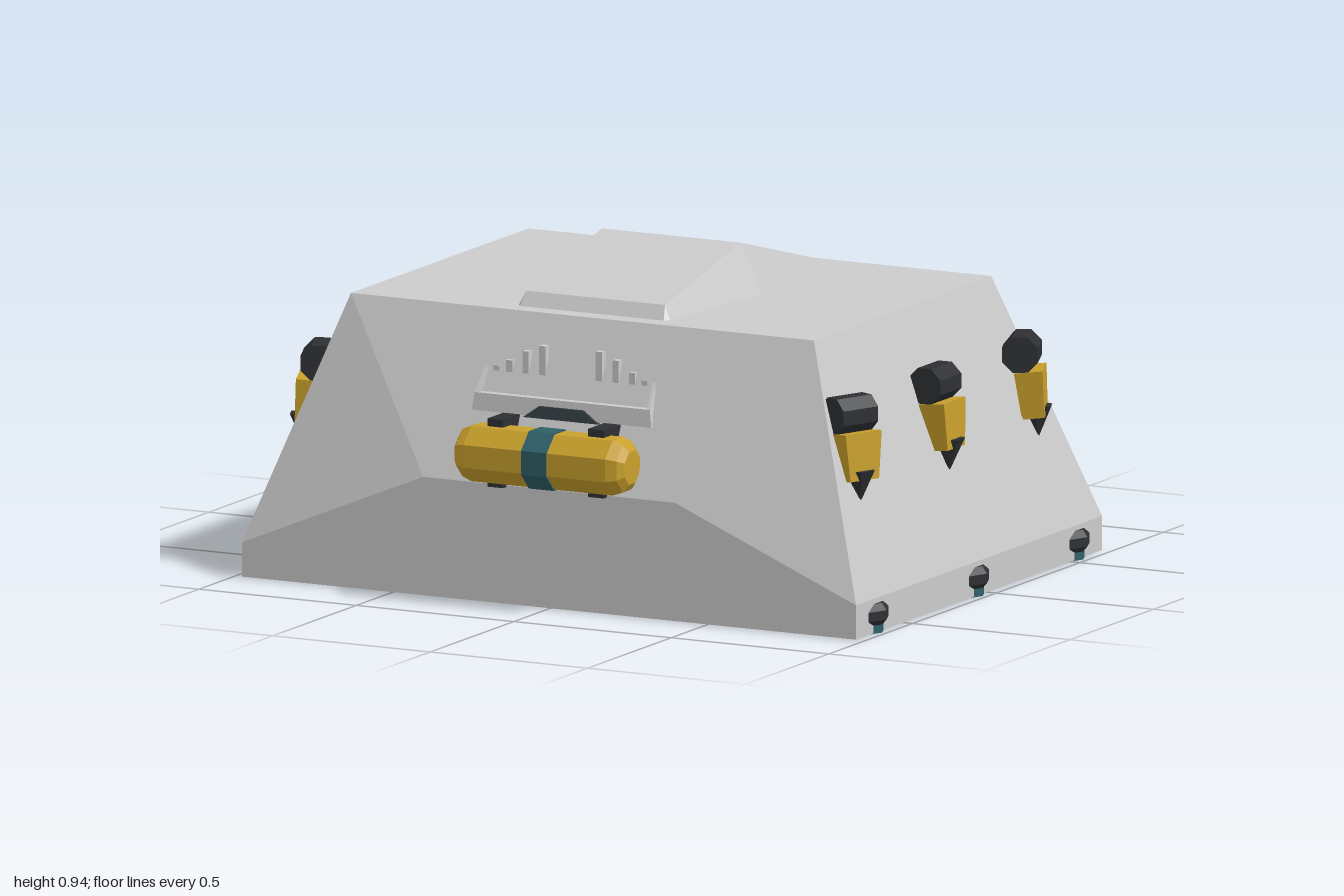
import * as THREE from 'three';
import { ConvexGeometry } from 'three/addons/geometries/ConvexGeometry.js';

const paint = (color) => new THREE.MeshStandardMaterial({ color, flatShading: true });

export function createModel() {
  const model = new THREE.Group();
  const grey = paint(0xcccccc);
  const dark = paint(0x2e3034);
  const glass = paint(0x3c464c);
  const yellow = paint(0xc9a02c);
  const teal = paint(0x2f5f68);

  const add = (name, geometry, material, x = 0, y = 0, z = 0, parent = model) => {
    const mesh = new THREE.Mesh(geometry, material);
    mesh.name = name;
    mesh.position.set(x, y, z);
    parent.add(mesh);
    return mesh;
  };
  const solid = (points) => new ConvexGeometry(points.map((p) => new THREE.Vector3(...p)));
  // Faceted solid from its +x corners, mirrored to -x
  const mirrored = (half) => solid(half.flatMap(([x, y, z]) => [[x, y, z], [-x, y, z]]));
  const box = (w, h, d) => new THREE.BoxGeometry(w, h, d);
  const lathe = (profile, sides) =>
    new THREE.LatheGeometry(profile.map(([r, y]) => new THREE.Vector2(r, y)), sides);

  // Armoured hull with a vertical skirt at front and back
  add('hull', mirrored([
    [0.975, 0.002, 0.79], [0.975, 0.1, 0.79], [0.4, 0.34, 0.79], [0.735, 0.8, 0.59],
    [0.975, 0.002, -0.68], [0.975, 0.1, -0.68], [0.4, 0.34, -0.68], [0.735, 0.8, -0.47],
  ]), grey);

  // Raised spine on the roof
  add('roofSpine', mirrored([
    [0.23, 0.79, 0.54], [0.245, 0.79, 0.52], [0.295, 0.79, 0.06], [0.18, 0.79, -0.44],
    [0.22, 0.84, 0.51], [0.22, 0.94, 0.06], [0.17, 0.8, -0.47],
  ]), grey);

  // Cab hanging over the back
  add('cab', mirrored([
    [0.17, 0.8, -0.47], [0.15, 0.72, -0.74], [0.15, 0.28, -0.89],
    [0.23, 0.24, -0.66], [0.17, 0.5, -0.45], [0.2, 0.25, -0.55],
  ]), grey);
  const cabTop = (z) => 0.8 + 0.296 * (z + 0.47);
  const cabSide = (y, z) => 0.17 - 0.147 * (y - 0.8) + 0.118 * (z + 0.47);
  add('cabWindow', mirrored(
    [[0.075, -0.545], [0.16, -0.63], [0.12, -0.67]].flatMap(([x, z]) =>
      [[x, cabTop(z) + 0.008, z], [x, cabTop(z) - 0.02, z]])), glass);
  add('cabStripe', box(0.28, 0.02, 0.02), yellow, 0, 0.675, -0.756).rotation.x = 0.33;

  for (const s of [1, -1]) {
    add('cabSidePanel', solid(
      [[0.66, -0.53], [0.66, -0.655], [0.26, -0.66], [0.26, -0.53]].flatMap(([y, z]) =>
        [0.012, -0.02].map((o) => [s * (cabSide(y, z) + o), y, z]))), glass);
    const pod = add('cabSidePod', new THREE.SphereGeometry(1, 8, 6), dark, s * 0.2, 0.733, -0.585);
    pod.scale.set(0.038, 0.034, 0.085);
    pod.rotation.x = -0.15;
    const lamp = add('cabLamp', new THREE.CylinderGeometry(0.026, 0.026, 0.04, 8), grey, s * 0.05, 0.35, -0.87);
    lamp.rotation.x = Math.PI / 2;
  }

  // Fuel tank across the front, with centre band and straps
  const tank = add('tank', lathe([
    [0, -0.27], [0.05, -0.27], [0.073, -0.255], [0.085, -0.225],
    [0.085, 0.225], [0.073, 0.255], [0.05, 0.27], [0, 0.27],
  ], 8), yellow, 0, 0.43, 0.8);
  const band = add('tankBand', new THREE.CylinderGeometry(0.089, 0.089, 0.08, 8), teal, 0, 0.43, 0.8);
  for (const part of [tank, band]) part.rotation.set(Math.PI / 8, 0, Math.PI / 2);
  for (const s of [1, -1]) add('tankStrap', box(0.05, 0.195, 0.11), dark, s * 0.16, 0.433, 0.755);
  add('tankMount', mirrored([
    [0.12, 0.525, 0.72], [0.07, 0.56, 0.72], [0.12, 0.525, 0.66], [0.07, 0.56, 0.66],
  ]), glass);

  // Shelf above the tank, with end fins and a row of pegs
  add('shelf', mirrored([
    [0.285, 0.53, 0.715], [0.275, 0.58, 0.71], [0.285, 0.53, 0.66], [0.275, 0.58, 0.66],
  ]), grey);
  for (const s of [1, -1]) {
    add('shelfFin', solid([0, 0.01].flatMap((t) => [
      [s * (0.285 - t), 0.53, 0.715], [s * (0.278 - t), 0.58, 0.71],
      [s * (0.27 - t), 0.65, 0.662], [s * (0.275 - t), 0.58, 0.66],
    ])), grey);
    [[0.09, 0.72], [0.143, 0.7], [0.195, 0.67], [0.235, 0.652]].forEach(([x, top]) =>
      add('peg', box(0.02, top - 0.633, 0.022), grey, s * x, (top + 0.633) / 2, 0.65));
  }

  // Side spikes: drum, tapered sleeve and point, the end ones turned outward
  for (const s of [1, -1]) {
    for (const [z, turn] of [[0.575, 0.4], [0.065, 0], [-0.455, -0.4]]) {
      const arm = new THREE.Group();
      arm.name = 'sideSpike';
      arm.position.set(s * 0.84, 0, z);
      arm.rotation.y = s > 0 ? -turn : Math.PI + turn;
      model.add(arm);
      const drum = add('drum', new THREE.CylinderGeometry(0.055, 0.055, 0.125, 8), dark, 0, 0.598, 0, arm);
      drum.rotation.set(Math.PI / 2, Math.PI / 8, 0);
      const sleeve = add('sleeve',
        new THREE.CylinderGeometry(0.092, 0.073, 0.135, 4, 1, false, Math.PI / 4), yellow, 0.03, 0.482, 0, arm);
      sleeve.scale.x = 0.62;
      sleeve.rotation.z = 0.1;
      add('point', new THREE.ConeGeometry(0.046, 0.1, 6).rotateX(Math.PI), dark, 0.044, 0.395, 0, arm);
    }
    // Feet along the lower edge
    for (const z of [0.655, 0.055, -0.545]) {
      add('footBase', new THREE.CylinderGeometry(0.087, 0.087, 0.03, 8), teal, s * 0.9, 0.015, z);
      add('footPad', lathe([
        [0, 0.022], [0.086, 0.022], [0.1, 0.038], [0.1, 0.065], [0.086, 0.085], [0, 0.085],
      ], 8), dark, s * 0.9, 0, z);
    }
  }
  return model;
}
